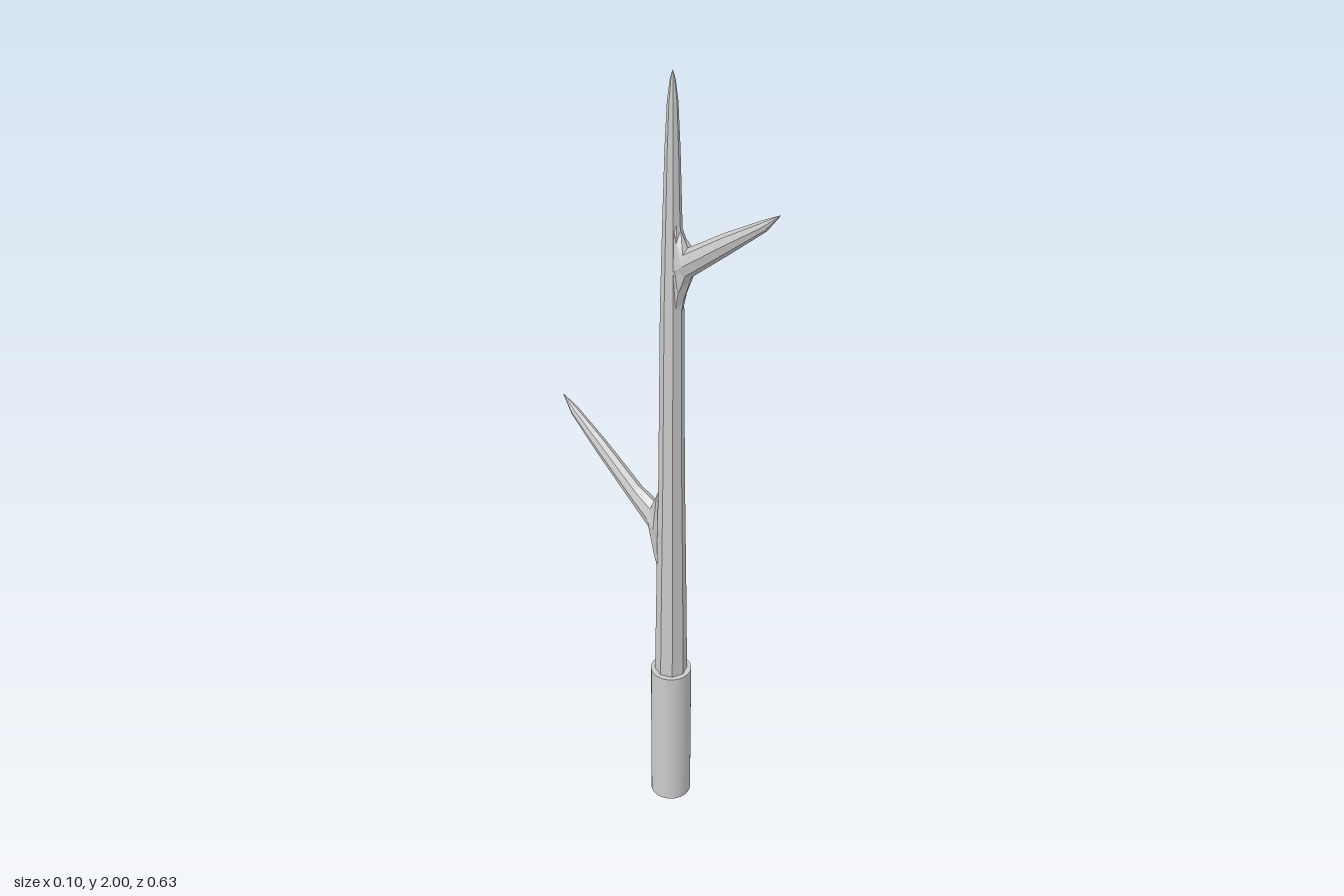
import * as THREE from 'three';

const SIDES = 8;
const AXIS_Z = 0.026;

// Loft of eight-sided rings. Each ring: [z1, y1, z2, y2, halfWidth],
// where (z1, y1) and (z2, y2) are its two opposite points in the x = 0 plane.
function loft(name, rings, material) {
  const positions = [];
  const index = [];
  for (const [z1, y1, z2, y2, w] of rings) {
    for (let i = 0; i < SIDES; i++) {
      const a = (i / SIDES) * Math.PI * 2;
      const t = (1 - Math.cos(a)) / 2;
      positions.push(w * Math.sin(a), y1 + (y2 - y1) * t, z1 + (z2 - z1) * t);
    }
  }
  for (let r = 0; r < rings.length - 1; r++) {
    for (let i = 0; i < SIDES; i++) {
      const a = r * SIDES + i;
      const b = r * SIDES + ((i + 1) % SIDES);
      index.push(a, b, b + SIDES, a, b + SIDES, a + SIDES);
    }
  }
  const geometry = new THREE.BufferGeometry();
  geometry.setAttribute('position', new THREE.Float32BufferAttribute(positions, 3));
  geometry.setIndex(index);
  geometry.computeVertexNormals();
  const mesh = new THREE.Mesh(geometry, material);
  mesh.name = name;
  return mesh;
}

export function createModel() {
  const group = new THREE.Group();
  group.name = 'thornedBranch';
  const smooth = new THREE.MeshStandardMaterial({ color: 0xcccccc });
  const faceted = new THREE.MeshStandardMaterial({
    color: 0xcccccc, flatShading: true, side: THREE.DoubleSide,
  });

  // Round handle
  const handle = new THREE.Mesh(new THREE.CylinderGeometry(0.05, 0.05, 0.4, 32), smooth);
  handle.name = 'handle';
  handle.position.set(0, 0.2, AXIS_Z);
  group.add(handle);

  // Tapering stem with a pointed tip: [height, radius]
  const stem = [
    [0.38, 0.04], [0.67, 0.036], [0.98, 0.031], [1.43, 0.027],
    [1.64, 0.022], [1.82, 0.017], [1.93, 0.012], [1.98, 0.006], [2, 0.0005],
  ];
  group.add(loft('stem', stem.map(([y, r]) => [AXIS_Z + r, y, AXIS_Z - r, y, r]), faceted));

  // Upper prong, flaring out of the front of the stem (lower point, upper point, half width)
  group.add(loft('frontProng', [
    [0.048, 1.40, 0.04, 1.68, 0.018],
    [0.058, 1.46, 0.05, 1.635, 0.024],
    [0.08, 1.53, 0.07, 1.60, 0.026],
    [0.195, 1.634, 0.175, 1.675, 0.021],
    [0.285, 1.717, 0.272, 1.738, 0.013],
    [0.318, 1.763, 0.317, 1.765, 0.001],
  ], faceted));

  // Lower prong, flaring out of the back of the stem (upper point, lower point, half width)
  group.add(loft('backProng', [
    [0.004, 1.0, 0, 0.64, 0.02],
    [-0.003, 0.955, -0.012, 0.70, 0.028],
    [-0.025, 0.88, -0.033, 0.805, 0.025],
    [-0.075, 0.902, -0.09, 0.85, 0.02],
    [-0.19, 0.985, -0.207, 0.948, 0.016],
    [-0.275, 1.04, -0.286, 1.02, 0.011],
    [-0.316, 1.062, -0.317, 1.06, 0.001],
  ], faceted));

  return group;
}
